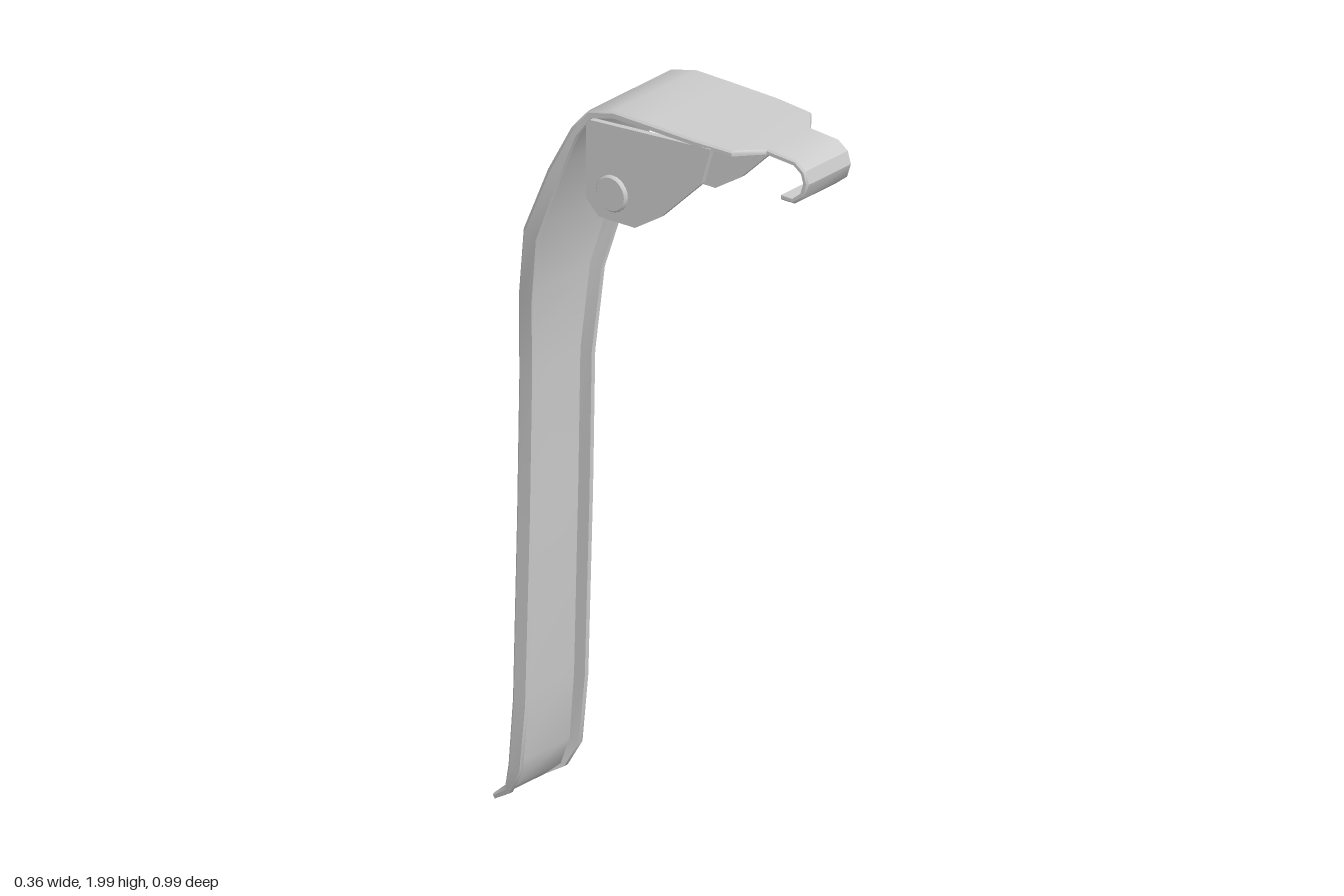
import * as THREE from 'three';
import { toCreasedNormals } from 'three/addons/utils/BufferGeometryUtils.js';

const material = new THREE.MeshStandardMaterial({ color: 0xcccccc });

// Stations along the outer face: z, y, half width, depth of the side flanges
const SHEET = 0.014;
const STATIONS = [
  [0.41, 1.862, 0.088, 0.014],
  [0.45, 1.862, 0.088, 0.014],
  [0.483, 1.888, 0.088, 0.014],
  [0.495, 1.925, 0.088, 0.014],
  [0.485, 1.958, 0.088, 0.014],
  [0.455, 1.98, 0.088, 0.014],
  [0.365, 1.987, 0.088, 0.014],
  [0.31, 1.99, 0.158, 0.014],
  [0.2, 1.994, 0.168, 0.015],
  [0.05, 1.998, 0.168, 0.016],
  [-0.06, 2.0, 0.168, 0.018],
  [-0.14, 1.98, 0.168, 0.02],
  [-0.195, 1.92, 0.173, 0.027],
  [-0.265, 1.79, 0.179, 0.042],
  [-0.34, 1.61, 0.182, 0.05],
  [-0.385, 1.41, 0.145, 0.05],
  [-0.4, 1.18, 0.125, 0.05],
  [-0.407, 0.8, 0.125, 0.05],
  [-0.42, 0.3, 0.125, 0.048],
  [-0.434, 0.12, 0.125, 0.044],
  [-0.452, 0.055, 0.115, 0.026],
  [-0.493, 0.02, 0.105, 0.014],
];

// Channel cross-section with bevelled outer corners
function section(w, d) {
  const c = d > 0.025 ? 0.012 : 0.005, i = w - SHEET;
  return [
    [c - w, 0], [w - c, 0], [w, c], [w, d], [i, d],
    [i, SHEET], [-i, SHEET], [-i, d], [-w, d], [-w, c],
  ];
}

// Sweep the channel along the stations
function leverGeometry() {
  const positions = [], index = [], last = STATIONS.length - 1, n = 10;
  STATIONS.forEach(([z, y, w, d], i) => {
    const a = STATIONS[Math.max(i - 1, 0)], b = STATIONS[Math.min(i + 1, last)];
    const before = new THREE.Vector2(z - a[0], y - a[1]).normalize();
    const after = new THREE.Vector2(b[0] - z, b[1] - y).normalize();
    const t = before.add(after).normalize();
    for (const [x, depth] of section(w, d)) {
      positions.push(x, y + t.x * depth, z - t.y * depth);
    }
  });
  for (let i = 0; i < last; i++) {
    for (let j = 0; j < n; j++) {
      const a = i * n + j, b = i * n + ((j + 1) % n);
      index.push(a, b, b + n, a, b + n, a + n);
    }
  }
  // End caps
  const e = last * n;
  for (let j = 1; j < n - 1; j++) index.push(0, j + 1, j, e, e + j, e + j + 1);
  const geometry = new THREE.BufferGeometry();
  geometry.setAttribute('position', new THREE.Float32BufferAttribute(positions, 3));
  geometry.setIndex(index);
  return toCreasedNormals(geometry, 0.6);
}

// Hinge cheek outline in z, y
function cheekGeometry() {
  const outline = [
    [0.25, 1.982], [0.22, 1.88], [0.09, 1.755], [0.01, 1.705],
    [-0.105, 1.705], [-0.145, 1.745], [-0.145, 1.957],
  ];
  const shape = new THREE.Shape(outline.map(([z, y]) => new THREE.Vector2(z, y)));
  const geometry = new THREE.ExtrudeGeometry(shape, { depth: 0.016, bevelEnabled: false });
  return geometry.rotateY(-Math.PI / 2).translate(0.008, 0, 0);
}

export function createModel() {
  const group = new THREE.Group();
  const add = (name, geometry) => {
    const mesh = new THREE.Mesh(geometry, material);
    mesh.name = name;
    group.add(mesh);
    return mesh;
  };

  add('leverStrip', leverGeometry());

  for (const [side, s] of [['left', 1], ['right', -1]]) {
    add(side + 'HingeCheek', cheekGeometry()).position.x = s * 0.159;

    // Rivet head with a slightly bevelled rim
    const profile = [[0, 0], [0.048, 0], [0.048, 0.01], [0.044, 0.014], [0, 0.014]]
      .map(([r, h]) => new THREE.Vector2(r, h));
    const rivet = add(side + 'Rivet', toCreasedNormals(new THREE.LatheGeometry(profile, 24), 0.5));
    rivet.rotation.z = -s * Math.PI / 2;
    rivet.position.set(s * 0.164, 1.78, -0.06);
  }
  return group;
}
